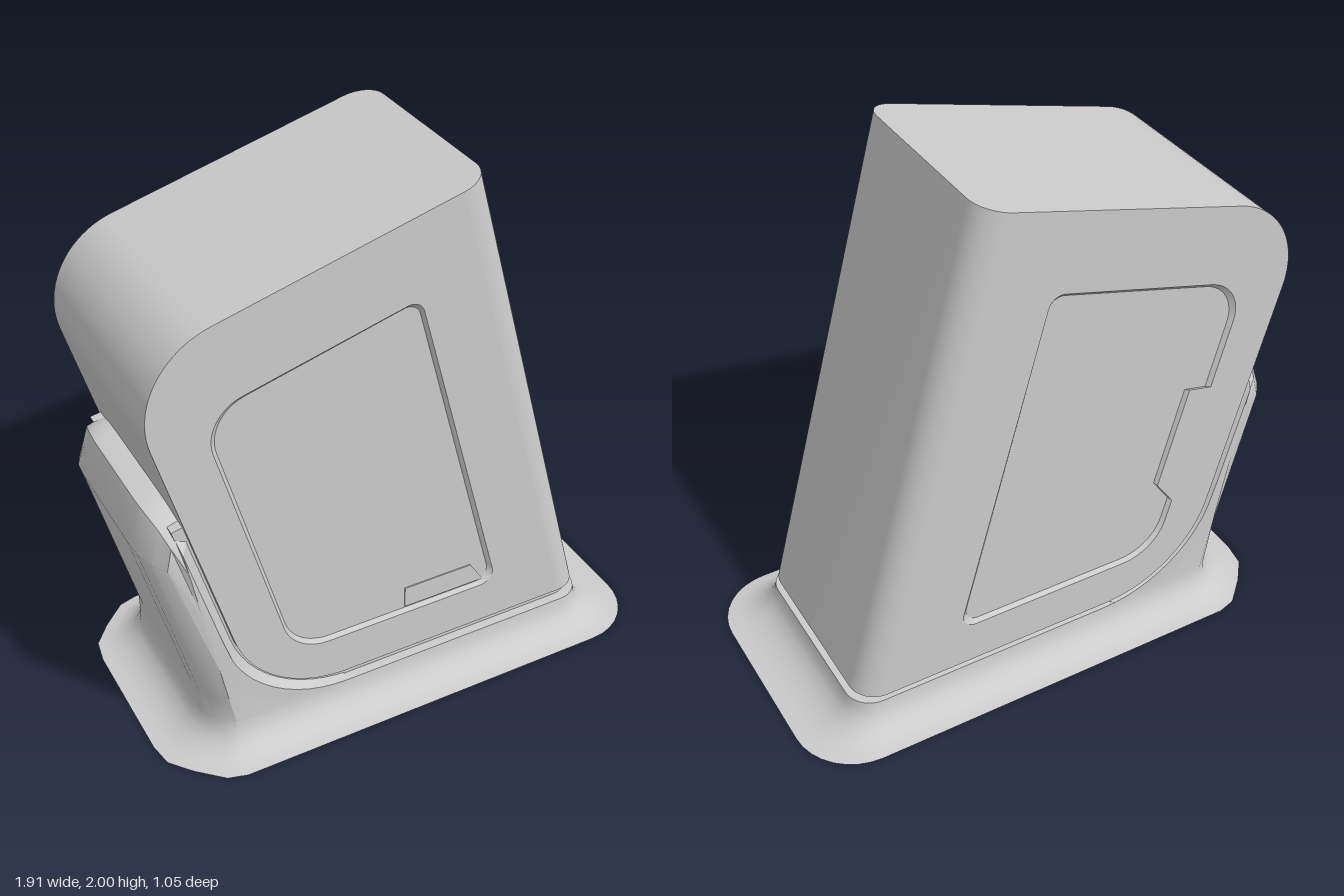
import * as THREE from 'three';
import { toCreasedNormals, mergeVertices } from 'three/addons/utils/BufferGeometryUtils.js';

const SLOPE = 0.27; // lean of the casing
const grey = (side = THREE.FrontSide) => new THREE.MeshStandardMaterial({ color: 0xcccccc, side });
const lerp = (a, b, t) => a.map((v, i) => v + (b[i] - v) * t);

// Polygon [x, y, radius] with true arcs at the rounded corners
function roundPoly(corners, n = 12) {
  const out = [];
  corners.forEach(([x, y, r = 0], i) => {
    const p = new THREE.Vector2(x, y);
    if (!r) return out.push(p);
    const at = k => new THREE.Vector2(...corners[(i + k + corners.length) % corners.length].slice(0, 2));
    const u = at(-1).sub(p).normalize(), v = at(1).sub(p).normalize();
    const half = Math.acos(u.dot(v)) / 2;
    const c = p.clone().addScaledVector(u.clone().add(v).normalize(), r / Math.sin(half));
    const start = p.clone().addScaledVector(u, r / Math.tan(half)).sub(c);
    const sweep = (Math.PI - 2 * half) * Math.sign(v.cross(u));
    for (let k = 0; k <= n; k++) {
      out.push(start.clone().rotateAround(new THREE.Vector2(), sweep * k / n).add(c));
    }
  });
  return out;
}

// Surface through equal-length rows of [x, y, z]; every row is a closed loop
function loft(rows, crease) {
  const n = rows[0].length, index = [];
  for (let s = 0; s < rows.length - 1; s++) {
    for (let i = 0; i < n; i++) {
      const j = (i + 1) % n, a = s * n, b = a + n;
      index.push(a + i, a + j, b + i, a + j, b + j, b + i);
    }
  }
  const g = new THREE.BufferGeometry();
  g.setAttribute('position', new THREE.Float32BufferAttribute(rows.flat(2), 3));
  g.setIndex(index);
  return toCreasedNormals(mergeVertices(g, 1e-5), crease);
}

function add(group, name, geometry, side) {
  const mesh = new THREE.Mesh(geometry, grey(side));
  mesh.name = name;
  group.add(mesh);
}

// Flat face at depth z, turned to +z or -z
function face(points, z, dir, hole) {
  const shape = new THREE.Shape(points);
  if (hole) shape.holes.push(new THREE.Path(hole));
  const g = new THREE.ShapeGeometry(shape);
  if (dir < 0) g.index.array.reverse();
  g.translate(0, 0, z);
  g.computeVertexNormals();
  return g;
}

// Profile swept along z, its +x edges rounded by r
function slab(group, name, profile, z0, z1, r, frontHole, backHole) {
  const n = 8, slices = [];
  for (let k = 0; k <= n; k++) {
    const a = k / n * Math.PI / 2;
    slices.push([r * (1 - Math.cos(a)), r * (1 - Math.sin(a))]);
  }
  const loop = d => profile.map(p => p.x > 0.2
    ? new THREE.Vector2(p.x - d, p.y - (p.y > 1 ? SLOPE * d : 0)) : p);
  const row = (z, d) => loop(d).map(p => [p.x, p.y, z]);
  const rows = [...slices.map(([t, d]) => row(z0 + t, d)),
    ...slices.slice().reverse().map(([t, d]) => row(z1 - t, d))];
  add(group, name + 'Shell', loft(rows, 0.5));
  add(group, name + 'FrontSide', face(loop(r), z1, 1, frontHole));
  add(group, name + 'BackSide', face(loop(r), z0, -1, backHole));
}

// Shallow sunken panel with a sloped wall
function recess(group, name, outline, z, dir) {
  const depth = 0.014, cx = -0.2, cy = 0.95;
  const inner = outline.map(p => new THREE.Vector2(cx + (p.x - cx) * 0.968, cy + (p.y - cy) * 0.978));
  const rows = [outline.map(p => [p.x, p.y, z]), inner.map(p => [p.x, p.y, z - dir * depth])];
  add(group, name + 'Wall', loft(rows, 0.5), THREE.DoubleSide);
  add(group, name + 'Floor', face(inner, z - dir * depth, dir));
}

// Columns of the stand for the +z half, from the +x end round to the -x end
function standColumns() {
  const H = 0.13, W = 0.395, cols = [];
  const column = (foot, base, rim, mids) => {
    const c = [];
    for (let k = 0; k <= 6; k++) {
      const a = k / 6 * Math.PI / 2;
      const [x, z] = lerp(foot, base, Math.sin(a));
      c.push([x, H * (1 - Math.cos(a)), z]);
    }
    const b = c[6];
    c.push(...(mids || [0.33, 0.66, 0.9].map(t => lerp(b, rim, t))), rim);
    // lip turned in under the casing
    const [x, y, z] = rim;
    c.push([x < -0.3 ? x + 0.05 : Math.min(x, 0.70), x < -0.3 ? y + 0.005 : y, Math.min(z, 0.34)]);
    cols.push(c);
  };
  // +x end and its rounded corner
  column([0.955, 0], [0.755, 0], [0.755, H, 0]);
  for (let k = 0; k <= 8; k++) {
    const a = k / 8 * Math.PI / 2, c = Math.cos(a), s = Math.sin(a);
    const base = [0.655 + 0.1 * c, 0.295 + 0.1 * s];
    column([0.725 + 0.23 * c, 0.295 + 0.23 * s], base, [base[0], H, base[1]]);
  }
  // long side, its rim following the casing's lower corner
  const rim = roundPoly([[0.5, H], [-0.845, 0.935], [-0.627, H, 0.48]]).slice(2).reverse();
  const path = [new THREE.Vector2(0.2, H), ...rim.reverse().sort((a, b) => b.x - a.x), new THREE.Vector2(-0.845, 0.935)];
  for (const p of path) {
    const t = Math.max(0, (-0.2 - p.x) / 0.645);
    const bx = p.x > -0.2 ? p.x : -0.2 - 0.5 * t;
    const fx = p.x > -0.2 ? p.x : -0.2 - 0.52 * t;
    column([fx, 0.525], [bx, W], [p.x, p.y, W]);
  }
  // bevelled corner and flat back of the support
  const back = (foot, bx, z, knee, top, rimPoint) =>
    column(foot, [bx, z], rimPoint, [[bx, 0.22, z], knee, top]);
  back([-0.79, 0.505], -0.73, 0.375, [-0.895, 0.88, 0.375], [-0.875, 0.96, 0.37], [-0.855, 0.975, 0.365]);
  back([-0.88, 0.42], -0.765, 0.33, [-0.93, 0.89, 0.33], [-0.895, 1.01, 0.32], [-0.867, 1.02, 0.32]);
  back([-0.945, 0.34], -0.785, 0.28, [-0.955, 0.9, 0.27], [-0.91, 1.035, 0.25], [-0.88, 1.045, 0.25]);
  back([-0.96, 0.25], -0.79, 0.22, [-0.96, 0.9, 0.2], [-0.915, 1.04, 0.18], [-0.88, 1.05, 0.18]);
  back([-0.96, 0], -0.79, 0, [-0.96, 0.9, 0], [-0.915, 1.04, 0], [-0.88, 1.05, 0]);
  return cols;
}

export function createModel() {
  const model = new THREE.Group();
  model.name = 'deviceOnStand';

  // Leaning casing with a sunken panel on either side
  const zFront = 0.385, zBack = -0.41;
  const casing = new THREE.Group();
  casing.name = 'casing';
  model.add(casing);
  const right = [[0.355, 0.34, 0.05], [0.01, 1.635, 0.05], [-0.757, 1.43, 0.15]];
  const corner = [-0.465, 0.34, 0.18];
  const frontPanel = roundPoly([...right, corner]);
  const backPanel = roundPoly([...right, [-0.651, 1.03], [-0.56, 1.05], [-0.455, 0.66], [-0.525, 0.56], corner]);
  const body = roundPoly([[0.745, 0.17], [0.255, 2], [-1.0, 1.663, 0.31], [-0.597, 0.17, 0.44]], 20);
  slab(casing, 'casing', body, zBack, zFront, 0.1, frontPanel, backPanel);
  recess(casing, 'frontPanel', frontPanel, zFront, 1);
  recess(casing, 'backPanel', backPanel, zBack, -1);

  // Thin plate low on the front panel
  const plate = new THREE.Shape([[-0.02, 0.36], [0.305, 0.36], [0.25, 0.445], [-0.02, 0.445]]
    .map(p => new THREE.Vector2(...p)));
  const plateGeometry = new THREE.ExtrudeGeometry(plate, { depth: 0.004, bevelEnabled: false });
  plateGeometry.translate(0, 0, zFront - 0.014);
  add(casing, 'frontPlate', plateGeometry);

  // Narrower neck filling the gap between casing and stand
  const neck = roundPoly([[0.725, 0.13], [0.7, 0.25], [-0.7, 1.05], [-0.867, 1.015], [-0.627, 0.13, 0.48]], 20);
  slab(model, 'neck', neck, -0.36, 0.36, 0.08);

  // Hollow stand: flared foot, low rim and raised back support
  const half = standColumns();
  const mirrored = half.slice(1, -1).reverse().map(c => c.map(([x, y, z]) => [x, y, -z]));
  const columns = [...half, ...mirrored].reverse();
  const rows = half[0].map((_, k) => columns.map(c => c[k]));
  add(model, 'stand', loft(rows, 0.6), THREE.DoubleSide);
  return model;
}
